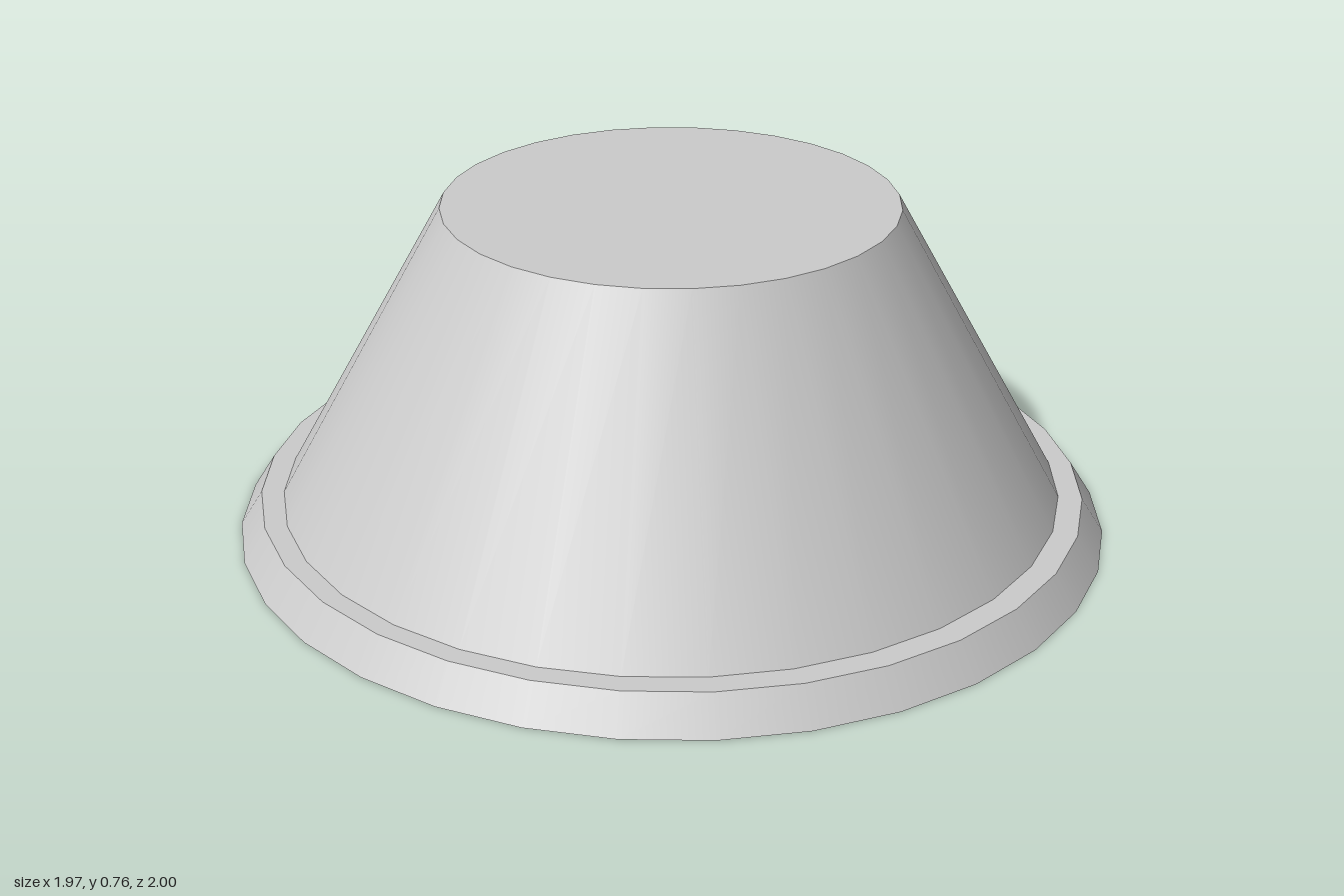
import * as THREE from 'three';

const SIDES = 32;

// Smooth-sided frustum with flat caps, standing on height y
function frustum(name, topRadius, bottomRadius, height, y) {
  const geometry = new THREE.CylinderGeometry(topRadius, bottomRadius, height, SIDES);
  geometry.translate(0, y + height / 2, 0);
  const mesh = new THREE.Mesh(geometry, new THREE.MeshStandardMaterial({ color: 0xcccccc }));
  mesh.name = name;
  return mesh;
}

export function createModel() {
  const model = new THREE.Group();
  model.name = 'taperedPedestal';

  // Low flared foot, very slightly narrower across x
  const foot = frustum('baseRim', 0.949, 1, 0.08, 0);
  foot.geometry.scale(0.987, 1, 1);
  model.add(foot);

  // Tapered body standing on the foot
  model.add(frustum('body', 0.51, 0.889, 0.68, 0.08));

  return model;
}
